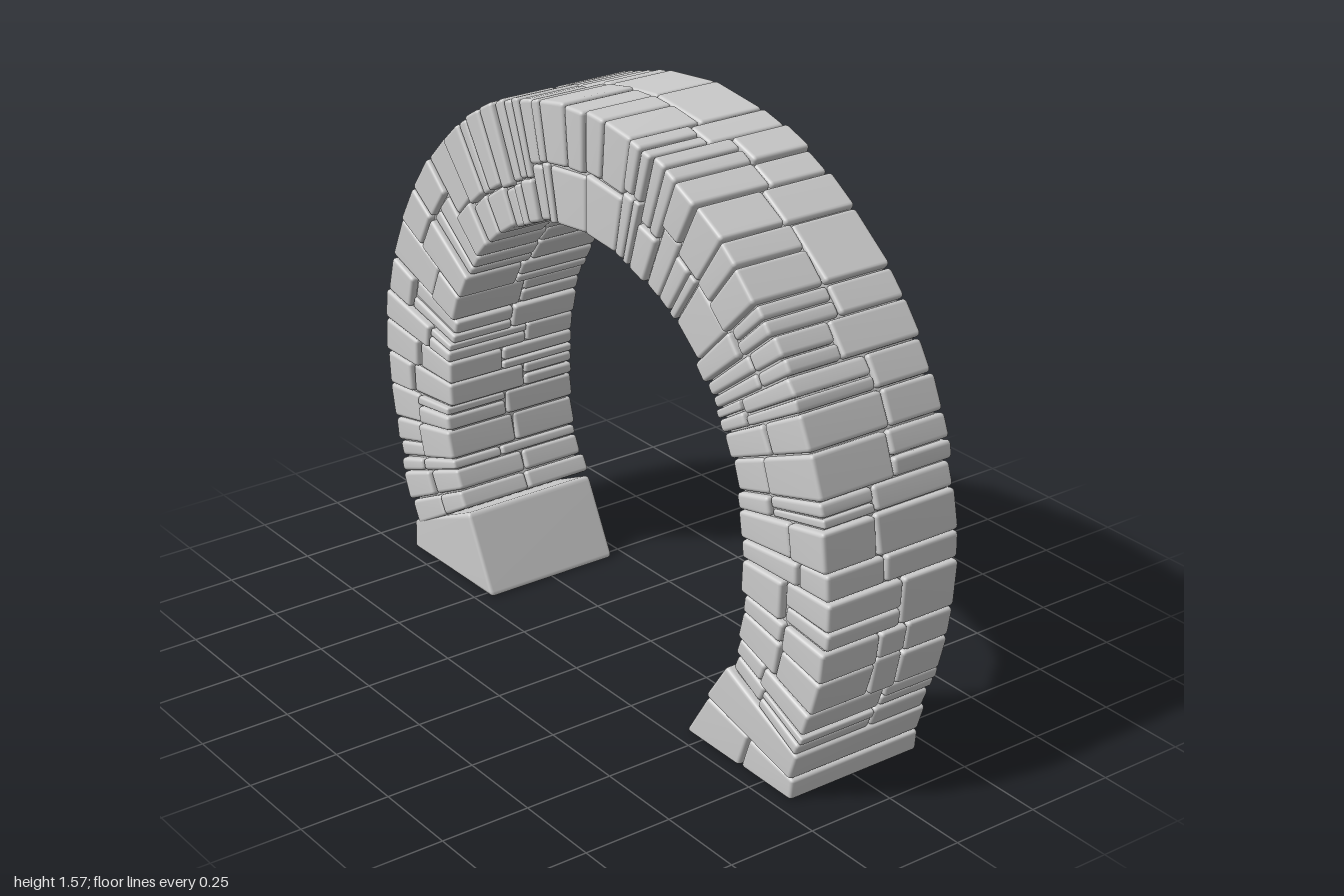
import * as THREE from 'three';
import { RoundedBoxGeometry } from 'three/addons/geometries/RoundedBoxGeometry.js';
import { mergeVertices } from 'three/addons/utils/BufferGeometryUtils.js';

const CY = 0.585, R_OUT = 0.988, Z0 = -0.21, Z1 = 0.212, GAP = 0.002;
// joints between courses, in degrees clockwise from the crown
const LEFT = [121, 116.5, 111.5, 109, 102, 96, 90, 84, 78.6, 72, 64, 56.4, 48.8, 42, 36, 28.7, 24.7, 22, 17.6, 13.9, 11.6];
const RIGHT = [0, 11.4, 16.7, 22.7, 27.8, 34.6, 45, 50, 56, 61.3, 67, 74, 78, 84.5, 89, 97, 108.6, 113, 117];
const JOINTS = [...LEFT.map(a => -a), ...RIGHT];

let seed = 11;
function rand(a = 0, b = 1) {
  seed = (seed * 16807) % 2147483647;
  return a + (b - a) * seed / 2147483647;
}

const material = new THREE.MeshStandardMaterial({ color: 0xcccccc, side: THREE.DoubleSide });

const polar = (deg, r) => {
  const a = THREE.MathUtils.degToRad(deg);
  return new THREE.Vector2(Math.sin(a) * r, CY + Math.cos(a) * r);
};

// the opening widens slightly towards the feet
const innerRadius = deg => 0.655 + 0.035 * THREE.MathUtils.smoothstep(Math.abs(deg), 85, 120);

// A worn block: rounded box warped to four front corners (counter-clockwise) between two depths
function stone(name, [a, b, c, d], z0, z1) {
  const w = (a.distanceTo(b) + c.distanceTo(d)) / 2;
  const h = (a.distanceTo(d) + b.distanceTo(c)) / 2;
  const depth = z1 - z0;
  const geo = new RoundedBoxGeometry(w, h, depth, 2, Math.min(0.011, 0.3 * Math.min(w, h, depth)));
  const pos = geo.attributes.position;
  const low = new THREE.Vector2(), high = new THREE.Vector2();
  for (let i = 0; i < pos.count; i++) {
    const u = pos.getX(i) / w + 0.5, v = pos.getY(i) / h + 0.5;
    low.lerpVectors(a, b, u);
    high.lerpVectors(d, c, u);
    low.lerp(high, v);
    pos.setXYZ(i, low.x, low.y, (z0 + z1) / 2 + pos.getZ(i));
  }
  geo.deleteAttribute('normal');
  geo.deleteAttribute('uv');
  const smooth = mergeVertices(geo, 1e-5);
  smooth.computeVertexNormals();
  const mesh = new THREE.Mesh(smooth, material);
  mesh.name = name;
  return mesh;
}

// Wedge stone between two angles and two radii, with a thin joint around it
function wedge(name, a0, a1, r0, r1, z0, z1) {
  const g = THREE.MathUtils.radToDeg(GAP);
  const corners = [
    polar(a0 + g / r0, r0 + GAP), polar(a1 - g / r0, r0 + GAP),
    polar(a1 - g / r1, r1 - GAP + rand(-0.004, 0.004)), polar(a0 + g / r1, r1 - GAP + rand(-0.004, 0.004)),
  ];
  return stone(name, corners, z0 + GAP, z1 - GAP);
}

// One row of a course: split across the depth, and sometimes into thinner slabs
function addRow(group, name, a0, a1, r0, r1, parts) {
  let z = Z0 + rand(-0.008, 0.006);
  const end = Z1 + rand(-0.006, 0.008);
  for (let i = 1; i <= parts; i++) {
    const next = i === parts ? end : THREE.MathUtils.lerp(Z0, Z1, i / parts) + rand(-0.05, 0.05);
    const thick = (a1 - a0) * (r0 + r1) / 2;
    if (thick > 3.4 && rand() < 0.38) {
      const mid = THREE.MathUtils.lerp(a0, a1, rand(0.35, 0.65));
      group.add(wedge(name, a0, mid, r0, r1, z, next));
      group.add(wedge(name, mid, a1, r0, r1, z, next + (i === parts ? rand(-0.004, 0.004) : 0)));
    } else {
      group.add(wedge(name, a0, a1, r0, r1, z, next));
    }
    z = next;
  }
}

// Recessed mortar filling the joints
function mortar() {
  const shape = new THREE.Shape();
  const steps = 64, start = -119, end = 119;
  const angle = i => start + (end - start) * i / steps;
  const pts = [];
  for (let i = 0; i <= steps; i++) pts.push(polar(angle(i), R_OUT - 0.02));
  for (let i = steps; i >= 0; i--) pts.push(polar(angle(i), innerRadius(angle(i)) + 0.018));
  shape.setFromPoints(pts);
  const depth = Z1 - Z0 - 0.034;
  const geo = new THREE.ExtrudeGeometry(shape, { depth, bevelEnabled: false });
  geo.translate(0, 0, Z0 + 0.017);
  const mesh = new THREE.Mesh(geo, material);
  mesh.name = 'mortar';
  return mesh;
}

export function createModel() {
  const model = new THREE.Group();
  model.name = 'stoneArch';
  model.add(mortar());

  // ring of wedge-shaped courses
  const ring = new THREE.Group();
  ring.name = 'archRing';
  for (let i = 0; i < JOINTS.length - 1; i++) {
    const a0 = JOINTS[i], a1 = JOINTS[i + 1], mid = (a0 + a1) / 2;
    const rIn = innerRadius(mid) + rand(-0.004, 0.006);
    const rOut = R_OUT + rand(-0.006, 0.004);
    const big = a1 - a0 > 10;
    const split = THREE.MathUtils.lerp(rIn, rOut, big ? rand(0.46, 0.56) : rand(0.32, 0.66));
    addRow(ring, 'innerStone', a0, a1, rIn, split, 2);
    addRow(ring, 'outerStone', a0, a1, split, rOut, big && mid > 90 ? 3 : 2);
  }
  model.add(ring);

  // feet: one large block on the right-hand side, a wedge over two blocks on the left
  const quad = pts => pts.map(([x, y]) => new THREE.Vector2(x, y));
  const feet = new THREE.Group();
  feet.name = 'feet';
  feet.add(
    stone('rightFootStone', quad([[-0.872, 0], [-0.465, 0], [-0.58, 0.222], [-0.868, 0.085]]), -0.208, 0.212),
    stone('leftFootWedge', quad([[0.52, 0.145], [0.865, 0.063], [0.89, 0.138], [0.605, 0.268]]), -0.21, 0.215),
    stone('leftFootInnerStone', quad([[0.435, 0], [0.655, 0], [0.69, 0.1], [0.525, 0.14]]), -0.205, 0.21),
    stone('leftFootOuterStone', quad([[0.66, 0], [0.862, 0], [0.868, 0.058], [0.695, 0.098]]), -0.208, 0.208),
  );
  model.add(feet);
  return model;
}
